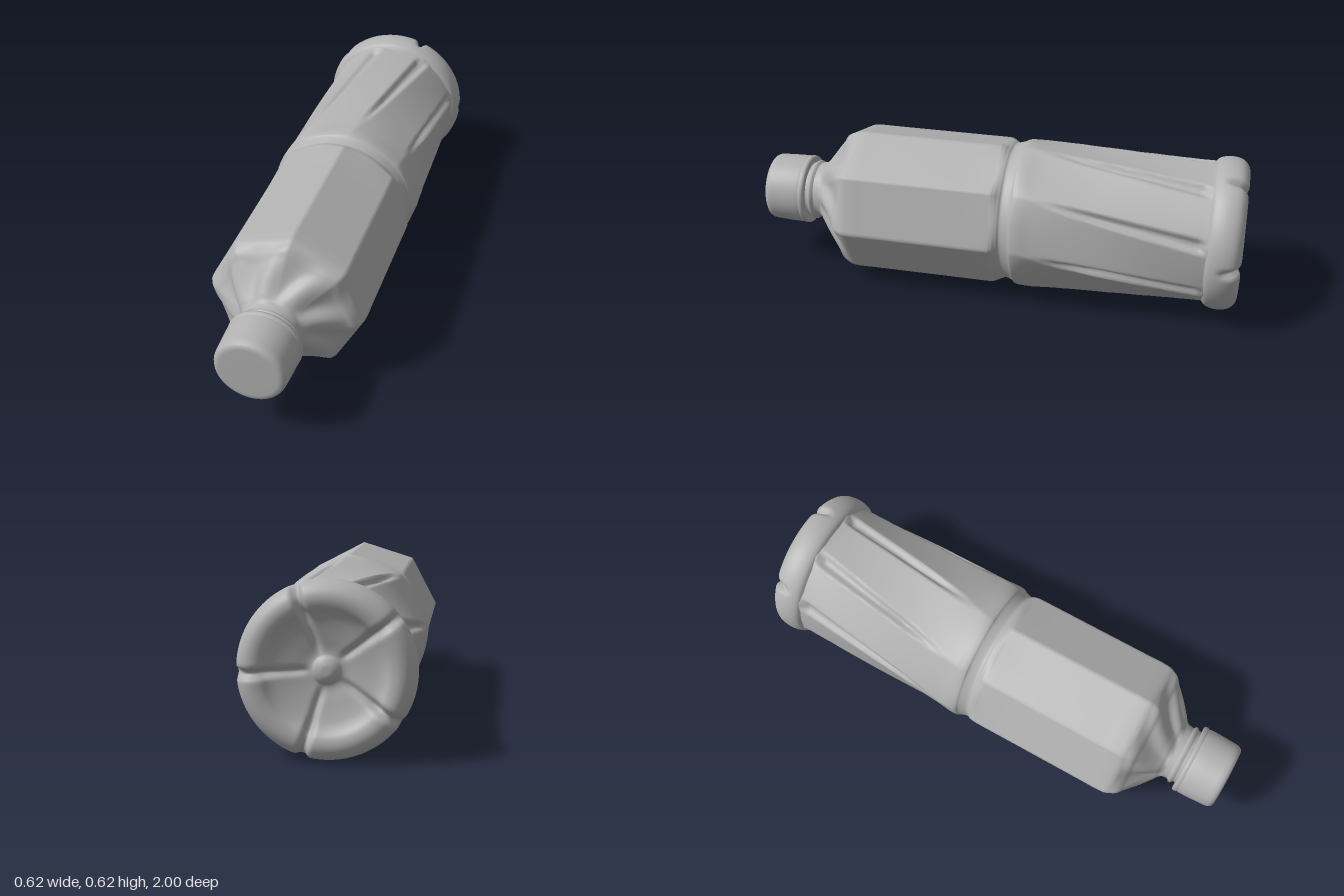
import * as THREE from 'three';

const SEG = 200;
const AXIS_Y = 0.31;
const deg = THREE.MathUtils.degToRad;
const { clamp, lerp, smoothstep } = THREE.MathUtils;
const PHASE = deg(-5);              // direction of the first octagon corner

// signed angle from a to the nearest of n evenly spaced directions
function nearest(a, n) {
  const step = Math.PI * 2 / n;
  return a - Math.round(a / step) * step;
}

// octagon radius for a corner radius of 1
function octagon(a) {
  const fromMid = nearest(a - Math.PI / 8, 8);
  return Math.cos(Math.PI / 8) / Math.cos(fromMid);
}

// closed skin through rings running from front to back; rule gives [r, z]
function loft(rings, rule) {
  const pos = [], idx = [];
  for (let i = 0; i <= rings; i++) {
    for (let j = 0; j < SEG; j++) {
      const a = PHASE + j / SEG * Math.PI * 2;
      const [r, z] = rule(i / rings, a);
      pos.push(r * Math.cos(a), r * Math.sin(a), z);
      if (i === rings) continue;
      const p = i * SEG + j, q = i * SEG + (j + 1) % SEG;
      idx.push(p, p + SEG, q, q, p + SEG, q + SEG);
    }
  }
  const g = new THREE.BufferGeometry();
  g.setAttribute('position', new THREE.Float32BufferAttribute(pos, 3));
  g.setIndex(idx);
  g.computeVertexNormals();
  return g;
}

// turned part along z from [radius, z] pairs
function turned(points) {
  const g = new THREE.LatheGeometry(points.map(p => new THREE.Vector2(...p)), 96);
  return g.rotateX(Math.PI / 2);
}

export function createModel() {
  const group = new THREE.Group();
  const plastic = new THREE.MeshStandardMaterial({ color: 0xb2b2b2 });
  plastic.name = 'grey plastic';
  const add = (name, geometry, y = AXIS_Y) => {
    const mesh = new THREE.Mesh(geometry, plastic);
    mesh.name = name;
    mesh.position.y = y;
    group.add(mesh);
  };

  // body stations: z, corner radius, how octagonal the section is
  const stations = [
    [0.79, 0.115, 0], [0.765, 0.12, 0], [0.74, 0.142, 0.1], [0.70, 0.19, 0.4],
    [0.66, 0.245, 0.8], [0.63, 0.287, 1], [0.605, 0.304, 1], [0.57, 0.309, 1],
    [0.5, 0.309, 1], [0.1, 0.309, 1], [0.01, 0.309, 0.9], [-0.02, 0.304, 0.6],
    [-0.042, 0.29, 0.1], [-0.06, 0.283, 0], [-0.08, 0.289, 0], [-0.1, 0.303, 0.2],
    [-0.13, 0.309, 0.4], [-0.2, 0.309, 0.7], [-0.4, 0.306, 1], [-0.7, 0.3, 1],
    [-0.84, 0.297, 0.8], [-0.875, 0.287, 0],
  ];
  const bodyCurve = new THREE.CatmullRomCurve3(stations.map(s => new THREE.Vector3(...s)));
  const bodyStations = [];
  const BODY = (stations.length - 1) * 7;
  for (let i = 0; i <= BODY; i++) bodyStations.push(bodyCurve.getPoint(i / BODY));

  add('body', loft(BODY, (u, a) => {
    const { x: z, y: R, z: k } = bodyStations[Math.round(u * BODY)];
    // grip panels twist towards the back
    const t = clamp((-0.12 - z) / 0.74, 0, 1);
    const local = a - PHASE + deg(24) * t;
    let r = R * lerp(1, octagon(local), clamp(k, 0, 1));
    // widening grooves between the grip panels
    const width = lerp(0.04, 0.13, t);
    const groove = Math.max(0, 1 - Math.abs(nearest(local, 8)) / width);
    const fade = smoothstep(t, 0.06, 0.45) * (1 - smoothstep(-z, 0.83, 0.87));
    r -= 0.028 * fade * smoothstep(groove, 0, 0.9);
    // swirled hollows on the shoulder
    const s = clamp((z - 0.615) / 0.15, 0, 1);
    const swirl = Math.cos(8 * (a - PHASE - Math.PI / 8 - deg(25) * s));
    r -= 0.017 * Math.sin(Math.PI * s) * (swirl + 0.1);
    return [r, z];
  }));

  // base: rounded foot ring, recessed centre and five radial creases
  const baseCurve = new THREE.CatmullRomCurve3([
    [0.283, -0.862], [0.298, -0.874], [0.308, -0.9], [0.31, -0.935], [0.3, -0.972],
    [0.276, -0.994], [0.25, -1], [0.222, -0.993], [0.2, -0.975], [0.175, -0.962],
    [0.11, -0.945], [0.055, -0.936], [0.04, -0.948], [0.02, -0.957], [0, -0.958],
  ].map(([r, z]) => new THREE.Vector3(r, z, 0)));
  const BASE = 56;
  const baseStations = [];
  for (let i = 0; i <= BASE; i++) {
    baseStations.push([baseCurve.getPoint(i / BASE), baseCurve.getTangent(i / BASE)]);
  }
  add('base', loft(BASE, (u, a) => {
    const [p, t] = baseStations[Math.round(u * BASE)];
    const off = p.x * Math.sin(nearest(a - deg(70), 5));
    const depth = 0.028 * smoothstep(u, 0.14, 0.28) * smoothstep(p.x, 0.05, 0.1)
      * lerp(0.45, 1, smoothstep(p.x, 0.15, 0.22));
    const d = depth * Math.exp(-((off / 0.014) ** 2));
    return [Math.max(0, p.x + t.y * d), p.y - t.x * d];
  }));

  // neck with its small collar
  add('neck', turned([
    [0.118, 0.755], [0.115, 0.785], [0.117, 0.792], [0.125, 0.797], [0.126, 0.806],
    [0.118, 0.812], [0.115, 0.82], [0.115, 0.85],
  ]), 0.307);

  // screw cap with a bead at its lower edge
  add('cap', turned([
    [0.11, 0.825], [0.138, 0.825], [0.144, 0.828], [0.146, 0.836], [0.145, 0.844],
    [0.142, 0.847], [0.142, 0.852], [0.144, 0.856], [0.143, 0.9], [0.14, 0.965],
    [0.138, 0.982], [0.132, 0.993], [0.122, 0.999], [0.11, 1], [0.05, 1], [0, 1],
  ]), 0.305);

  return group;
}
